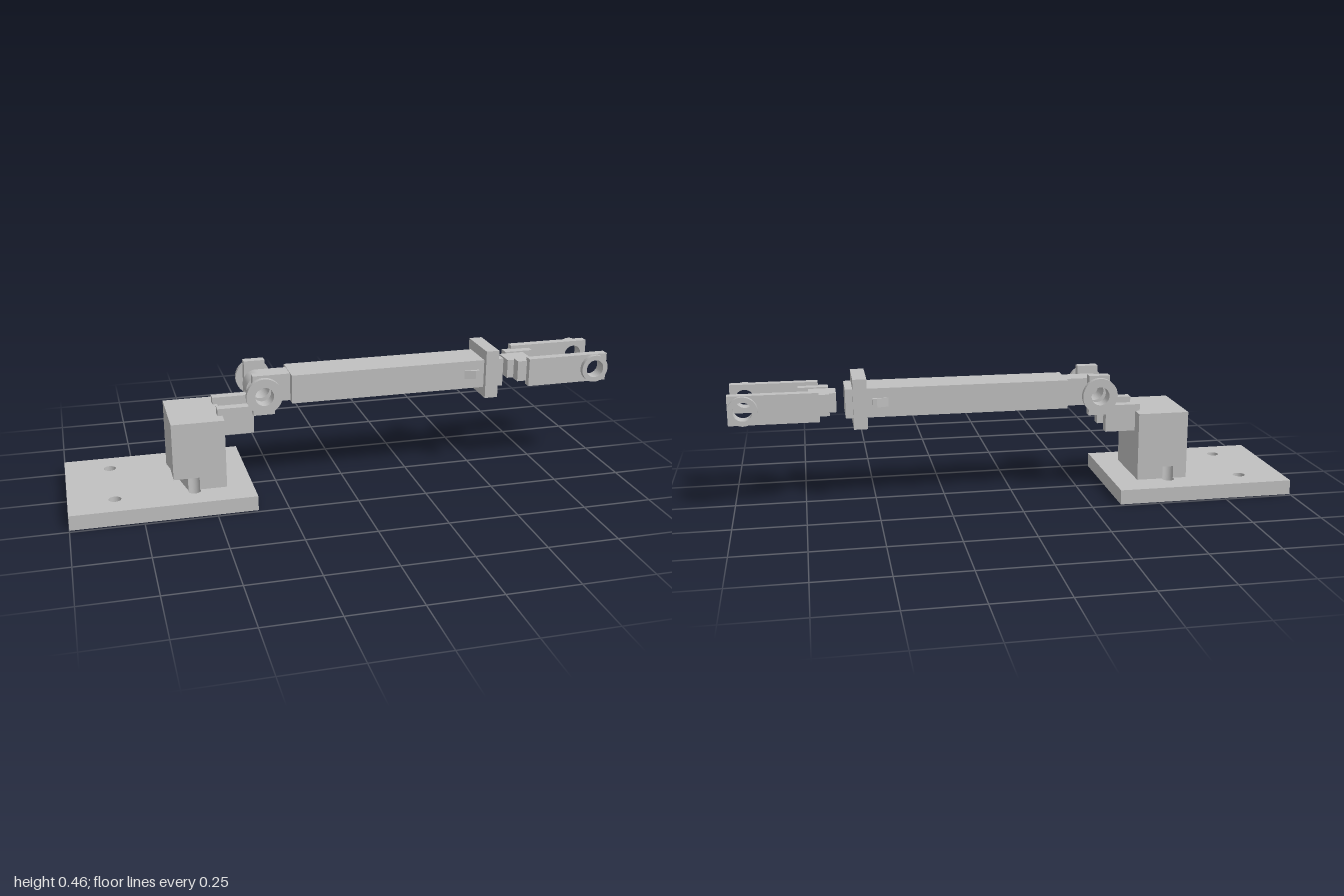
import * as THREE from 'three';

const grey = new THREE.MeshStandardMaterial({ color: 0xc0c0c0 });
grey.name = 'light grey';

export function createModel() {
  const model = new THREE.Group();
  model.name = 'clampArm';

  const add = (name, geometry) => {
    const mesh = new THREE.Mesh(geometry, grey);
    mesh.name = name;
    model.add(mesh);
    return mesh;
  };
  const box = (name, x0, x1, y0, y1, z0, z1) =>
    add(name, new THREE.BoxGeometry(x1 - x0, y1 - y0, z1 - z0)
      .translate((x0 + x1) / 2, (y0 + y1) / 2, (z0 + z1) / 2));
  const extrude = (shape, depth) =>
    new THREE.ExtrudeGeometry(shape, { depth, bevelEnabled: false, curveSegments: 24 });
  // Shape in the x-y plane, extruded from z0 to z1
  const plate = (name, shape, z0, z1) => add(name, extrude(shape, z1 - z0).translate(0, 0, z0));
  // Shape in the x-z plane (symmetric in z), extruded from y0 to y1
  const slab = (name, shape, y0, y1) =>
    add(name, extrude(shape, y1 - y0).rotateX(-Math.PI / 2).translate(0, y0, 0));
  const poly = (...points) => new THREE.Shape(points.map(([x, y]) => new THREE.Vector2(x, y)));
  const rect = (x0, x1, y0, y1) => poly([x0, y0], [x1, y0], [x1, y1], [x0, y1]);
  const disc = (x, y, r) => new THREE.Shape().absarc(x, y, r, 0, Math.PI * 2);
  const bore = (shape, x, y, r) => {
    shape.holes.push(new THREE.Path().absarc(x, y, r, 0, Math.PI * 2, true));
    return shape;
  };
  const Y = 0.373;       // height of the arm axis
  const pivotX = -0.305; // rear pivot
  const tipX = 0.948;    // finger pivot

  // Base plate with four bolt holes
  const base = rect(-1, -0.357, -0.238, 0.238);
  for (const x of [-0.84, -0.565]) for (const z of [-0.138, 0.138]) bore(base, x, z, 0.022);
  slab('basePlate', base, 0, 0.053);

  // Pedestal, its foot relieved around the two inner bolt holes
  const foot = new THREE.Shape();
  const a = Math.asin(0.008 / 0.022);
  foot.moveTo(-0.635, -0.13);
  foot.absarc(-0.565, -0.138, 0.022, Math.PI - a, a, true);
  foot.lineTo(-0.449, -0.13);
  foot.lineTo(-0.449, 0.13);
  foot.absarc(-0.565, 0.138, 0.022, -a, Math.PI + a, true);
  foot.lineTo(-0.635, 0.13);
  slab('pedestalFoot', foot, 0.053, 0.098);
  box('pedestal', -0.635, -0.449, 0.098, 0.302, -0.13, 0.13);
  box('forkCrossbar', -0.46, -0.385, 0.244, 0.279, -0.045, 0.045);

  // Arm: eye, tube, flange and collar
  const lug = new THREE.Shape();
  lug.moveTo(-0.195, Y - 0.05);
  lug.lineTo(-0.195, Y + 0.05);
  lug.lineTo(pivotX, Y + 0.05);
  lug.absarc(pivotX, Y, 0.05, Math.PI / 2, Math.PI * 1.5, false);
  plate('armEye', bore(lug, pivotX, Y, 0.033), -0.038, 0.038);
  box('armTube', -0.197, 0.527, 0.321, 0.425, -0.07, 0.07);
  box('flange', 0.525, 0.574, 0.284, 0.463, -0.09, 0.09);
  box('collar', 0.574, 0.6, 0.321, 0.425, -0.07, 0.07);

  // Finger carrier
  box('fingerCarrier', 0.63, 0.725, 0.338, 0.407, -0.041, 0.041);

  // Mirrored parts on both sides
  for (const s of [1, -1]) {
    const span = (n, f) => (s > 0 ? [n, f] : [-f, -n]);
    box('forkProng', -0.466, -0.338, 0.228, 0.327, ...span(0.044, 0.079));

    // Rear pivot tab and bushing
    plate('pivotTab', bore(rect(-0.343, -0.267, 0.3, 0.445), pivotX, Y, 0.033), ...span(0.072, 0.104));
    plate('pivotBushing', bore(disc(pivotX, Y, 0.064), pivotX, Y, 0.033), ...span(0.104, 0.122));

    // Snap catch beside the flange
    const catchShape = poly([0.45, -0.066], [0.505, -0.066], [0.505, -0.081], [0.49, -0.081], [0.45, -0.07]);
    const snap = slab('snapCatch', catchShape, 0.358, 0.39);
    if (s < 0) {
      // Turn about the x axis through the arm centre line
      snap.geometry.translate(0, -0.374, 0).rotateX(Math.PI).translate(0, 0.374, 0);
    }

    // Gripping finger with its spacer and end bushing
    box('fingerSpacer', 0.655, 0.762, 0.335, 0.412, ...span(0.041, 0.08));
    plate('finger', bore(rect(0.69, 1, 0.321, 0.425), tipX, Y, 0.033), ...span(0.072, 0.104));
    plate('fingerBushing', bore(disc(tipX, Y, 0.051), tipX, Y, 0.033), ...span(0.104, 0.121));
  }
  return model;
}
